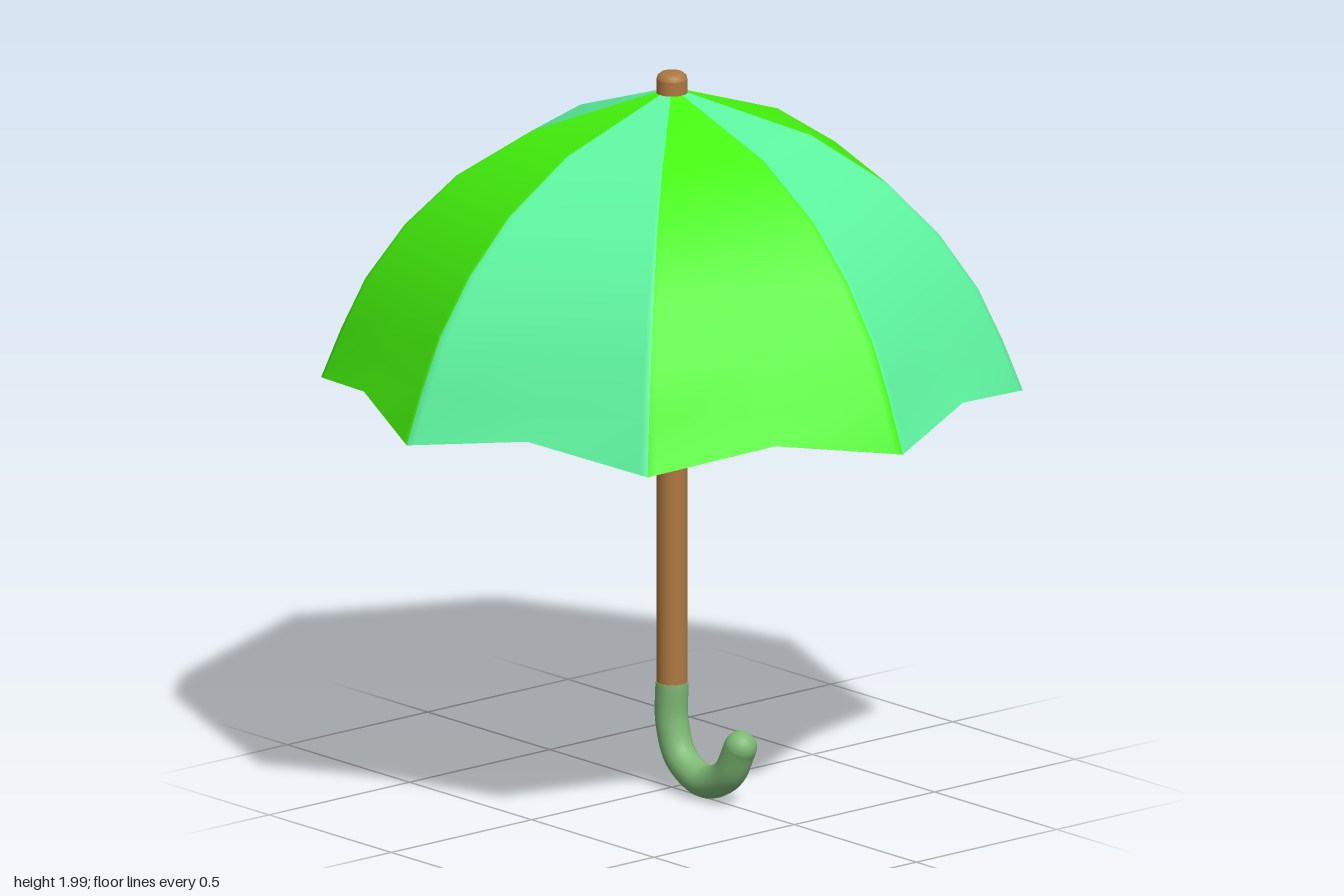
import * as THREE from 'three';

const SIDES = 8;
// Rib profile from crown to hem: [radius, height]
const RIB = [[0.03, 1.947], [0.375, 1.83], [0.58, 1.70], [0.72, 1.56], [0.825, 1.41], [0.89, 1.27], [0.945, 1.13]];
const COLUMNS = [0, 0.03, 0.5, 0.97, 1];
const HEM_LIFT = 0.055;

// One panel stretched straight between two neighbouring ribs
function panelGeometry(index) {
  const a0 = (index / SIDES) * Math.PI * 2;
  const a1 = ((index + 1) / SIDES) * Math.PI * 2;
  const positions = [], indices = [];
  const n = COLUMNS.length;
  RIB.forEach(([r, y], i) => {
    COLUMNS.forEach((u, j) => {
      // The hem rises in the middle of each panel
      const lift = i === RIB.length - 1 ? HEM_LIFT * (1 - Math.abs(2 * u - 1)) : 0;
      positions.push(
        r * THREE.MathUtils.lerp(Math.sin(a0), Math.sin(a1), u),
        y + lift,
        r * THREE.MathUtils.lerp(Math.cos(a0), Math.cos(a1), u));
      if (i < RIB.length - 1 && j < n - 1) {
        const a = i * n + j, b = a + n;
        indices.push(a, b, a + 1, b, b + 1, a + 1);
      }
    });
  });
  const geometry = new THREE.BufferGeometry();
  geometry.setAttribute('position', new THREE.Float32BufferAttribute(positions, 3));
  geometry.setIndex(indices);
  geometry.computeVertexNormals();

  // Soften the crease along the ribs by removing the sideways part of the normal
  const normals = geometry.attributes.normal;
  const normal = new THREE.Vector3(), sideways = new THREE.Vector3();
  for (let i = 0; i < RIB.length; i++) {
    for (const [j, angle] of [[0, a0], [n - 1, a1]]) {
      sideways.set(Math.cos(angle), 0, -Math.sin(angle));
      normal.fromBufferAttribute(normals, i * n + j);
      normal.addScaledVector(sideways, -normal.dot(sideways)).normalize();
      normals.setXYZ(i * n + j, normal.x, normal.y, normal.z);
    }
  }
  return geometry;
}

export function createModel() {
  const model = new THREE.Group();
  model.name = 'umbrella';
  const add = (parent, name, geometry, material) => {
    const mesh = new THREE.Mesh(geometry, material);
    mesh.name = name;
    parent.add(mesh);
    return mesh;
  };

  const wood = new THREE.MeshStandardMaterial({ color: 0xae7840 });
  const grip = new THREE.MeshStandardMaterial({ color: 0x7db874 });
  const mint = new THREE.MeshStandardMaterial({ color: 0x5ef5a0, side: THREE.DoubleSide });
  const green = new THREE.MeshStandardMaterial({ color: 0x44f50c, side: THREE.DoubleSide });

  // Canopy of alternating panels
  const canopy = new THREE.Group();
  canopy.name = 'canopy';
  model.add(canopy);
  for (let i = 0; i < SIDES; i++) {
    add(canopy, `panel${i + 1}`, panelGeometry(i), i % 2 ? green : mint);
  }

  // Shaft, with a bevelled tip above the canopy
  add(model, 'shaft', new THREE.CylinderGeometry(0.042, 0.042, 1.69, 24, 1, true), wood).position.y = 1.135;
  const tip = [[0.042, 1.98], [0.039, 1.99], [0.03, 1.998], [0, 2]].map(([r, y]) => new THREE.Vector2(r, y));
  add(model, 'tip', new THREE.LatheGeometry(tip, 24), wood);

  // Hooked handle curling to the front
  const handle = new THREE.Group();
  handle.name = 'handle';
  model.add(handle);
  const path = new THREE.CatmullRomCurve3(
    [[0.3, 0], [0.19, 0], [0.095, 0.038], [0.05, 0.135], [0.09, 0.23], [0.175, 0.28]]
      .map(([y, z]) => new THREE.Vector3(0, y, z)));
  add(handle, 'hook', new THREE.TubeGeometry(path, 40, 0.045, 20), grip);
  add(handle, 'hookEnd', new THREE.SphereGeometry(0.045, 20, 14), grip).position.set(0, 0.175, 0.28);
  const collar = add(handle, 'handleTop', new THREE.CircleGeometry(0.045, 20), grip);
  collar.rotation.x = -Math.PI / 2;
  collar.position.y = 0.3;

  return model;
}
